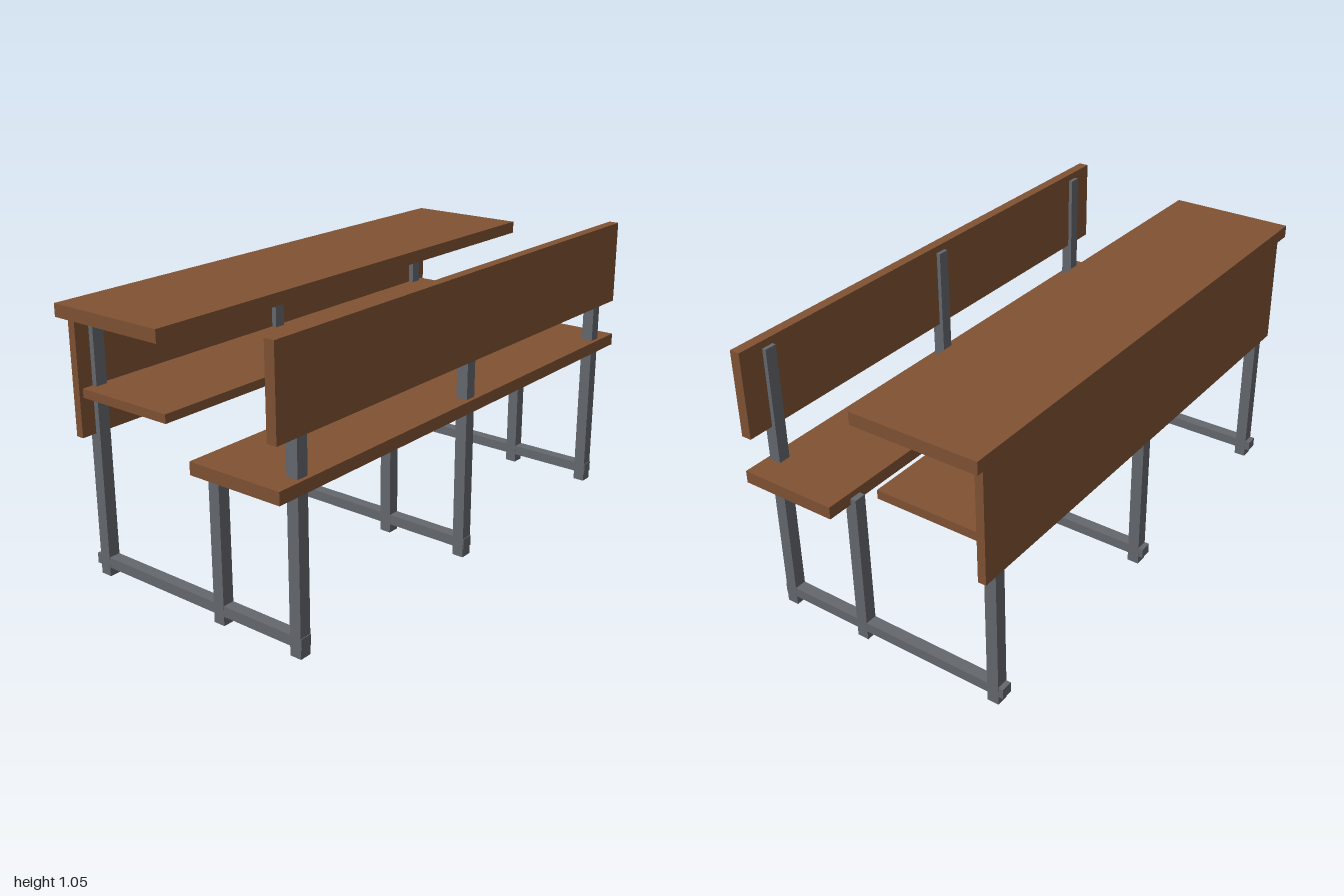
import * as THREE from 'three';

export function createModel() {
  const model = new THREE.Group();
  model.name = 'schoolBench';

  const wood = new THREE.MeshStandardMaterial({ color: 0x805233 });
  wood.name = 'brown wood';
  const steel = new THREE.MeshStandardMaterial({ color: 0x64676c });
  steel.name = 'grey steel';

  // Box centred on x, given its width and its y and z ranges
  const addBox = (parent, name, material, width, [y0, y1], [z0, z1]) => {
    const mesh = new THREE.Mesh(new THREE.BoxGeometry(width, y1 - y0, z1 - z0), material);
    mesh.position.set(0, (y0 + y1) / 2, (z0 + z1) / 2);
    mesh.name = name;
    parent.add(mesh);
  };

  // Wooden boards
  addBox(model, 'backrest', wood, 2, [0.739, 1.054], [0.435, 0.473]);
  addBox(model, 'seat', wood, 2, [0.557, 0.602], [0.113, 0.479]);
  addBox(model, 'deskTop', wood, 2, [0.951, 0.997], [-0.479, -0.006]);
  addBox(model, 'shelf', wood, 1.89, [0.669, 0.701], [-0.437, -0.045]);
  addBox(model, 'frontPanel', wood, 1.92, [0.53, 0.948], [-0.467, -0.437]);

  // Three identical steel frames
  const tube = 0.045;
  for (const x of [-0.881, 0, 0.881]) {
    const frame = new THREE.Group();
    frame.name = 'frame';
    frame.position.x = x;
    addBox(frame, 'backPost', steel, tube, [0, 1.028], [0.42, 0.464]);
    addBox(frame, 'seatLeg', steel, tube, [0, 0.58], [0.091, 0.135]);
    addBox(frame, 'deskLeg', steel, tube, [0, 0.951], [-0.461, -0.417]);
    addBox(frame, 'floorRail', steel, tube - 0.001, [0.034, 0.072], [-0.479, 0.467]);
    model.add(frame);
  }

  return model;
}
